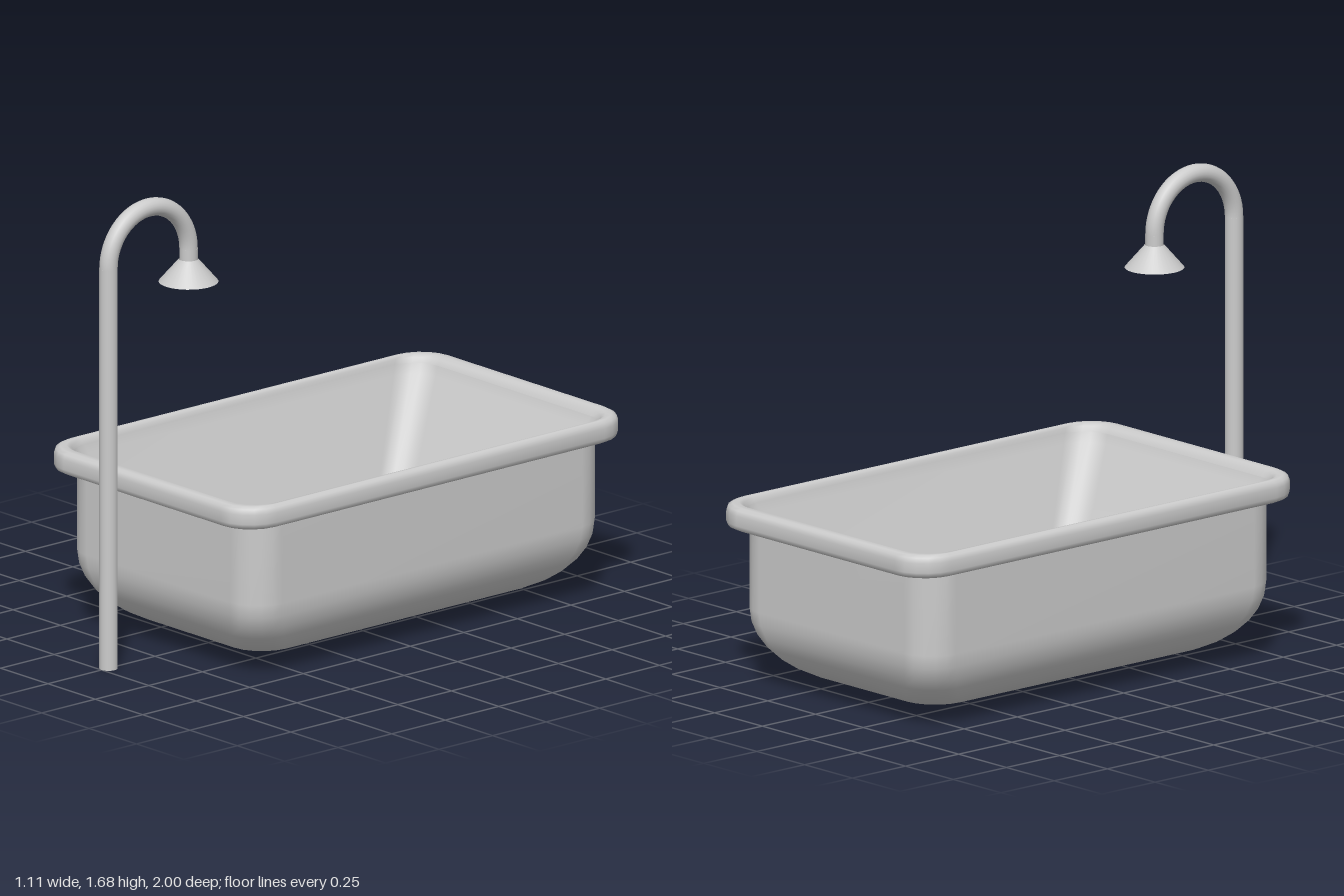
import * as THREE from 'three';

const material = new THREE.MeshStandardMaterial({ color: 0xcccccc, side: THREE.DoubleSide });
const TUB_Z = -0.095;

function addMesh(parent, name, geometry, x = 0, y = 0, z = 0) {
  const mesh = new THREE.Mesh(geometry, material);
  mesh.name = name;
  mesh.position.set(x, y, z);
  parent.add(mesh);
  return mesh;
}

// Rounded rectangle, counter-clockwise from above
function ring([hx, hz, r, y], steps = 5) {
  const points = [];
  [[1, 1], [-1, 1], [-1, -1], [1, -1]].forEach(([sx, sz], corner) => {
    for (let i = 0; i <= steps; i++) {
      const a = (corner + i / steps) * Math.PI / 2;
      points.push(sx * (hx - r) + r * Math.cos(a), y, -sz * (hz - r) - r * Math.sin(a));
    }
  });
  return points;
}

// Skin over a list of [half width, half length, corner radius, height]
function loft(sections) {
  const rings = sections.map((s) => ring(s));
  const n = rings[0].length / 3;
  const index = [];
  for (let k = 0; k < rings.length - 1; k++) {
    for (let i = 0; i < n; i++) {
      const a = k * n + i, b = k * n + (i + 1) % n;
      index.push(a, b, b + n, a, b + n, a + n);
    }
  }
  const geometry = new THREE.BufferGeometry();
  geometry.setAttribute('position', new THREE.Float32BufferAttribute(rings.flat(), 3));
  geometry.setIndex(index);
  geometry.computeVertexNormals();
  return geometry;
}

function createTub() {
  const tub = new THREE.Group();
  tub.name = 'tub';
  tub.position.z = TUB_Z;

  // Outer shell: flat base, quarter-round lower edge, upright walls
  const shell = [[0, 0, 0, 0.03]];
  for (let i = 0; i <= 8; i++) {
    const a = i / 8 * Math.PI / 2;
    const inset = 0.25 * (1 - Math.sin(a));
    shell.push([0.51 - inset, 0.83 - inset, 0.13, 0.28 - 0.25 * Math.cos(a)]);
  }
  shell.push([0.51, 0.83, 0.13, 0.6]);
  addMesh(tub, 'tubShell', loft(shell));

  // Overhanging rounded rim
  addMesh(tub, 'tubRim', loft([
    [0.5, 0.83, 0.12, 0.577], [0.535, 0.885, 0.125, 0.577],
    [0.549, 0.899, 0.135, 0.584], [0.555, 0.905, 0.14, 0.6],
    [0.555, 0.905, 0.14, 0.635], [0.549, 0.899, 0.135, 0.653],
    [0.535, 0.885, 0.125, 0.661], [0.525, 0.86, 0.12, 0.661],
    [0.515, 0.842, 0.11, 0.652], [0.51, 0.83, 0.105, 0.63],
  ]));

  // Sloping basin with a small fillet at the floor
  addMesh(tub, 'basin', loft([
    [0.51, 0.83, 0.105, 0.635], [0.5, 0.815, 0.105, 0.6],
    [0.36, 0.6, 0.085, 0.25], [0.348, 0.582, 0.08, 0.22],
    [0.335, 0.565, 0.075, 0.205], [0.315, 0.545, 0.07, 0.2],
    [0, 0, 0, 0.2],
  ]));
  return tub;
}

function createShower() {
  const shower = new THREE.Group();
  shower.name = 'shower';
  const radius = 0.0325, poleZ = 0.9675, bend = 0.187, bendY = 1.46;

  // Upright pole
  addMesh(shower, 'pole', new THREE.CylinderGeometry(radius, radius, bendY, 24), 0, bendY / 2, poleZ);

  // Half-circle neck bending over the tub
  const neck = new THREE.TorusGeometry(bend, radius, 20, 32, Math.PI);
  neck.rotateY(Math.PI / 2);
  addMesh(shower, 'neck', neck, 0, bendY, poleZ - bend);

  const headZ = poleZ - 2 * bend;
  addMesh(shower, 'neckEnd', new THREE.CylinderGeometry(radius, radius, 0.05, 24), 0, bendY - 0.025, headZ);

  // Hollow flared head
  addMesh(shower, 'showerHead', new THREE.CylinderGeometry(0.034, 0.105, 0.082, 32, 1, true), 0, 1.381, headZ);
  const plate = new THREE.CircleGeometry(0.036, 32);
  plate.rotateX(Math.PI / 2);
  addMesh(shower, 'headPlate', plate, 0, 1.415, headZ);
  return shower;
}

export function createModel() {
  const model = new THREE.Group();
  model.name = 'bathtubWithShower';
  model.add(createTub(), createShower());
  return model;
}
